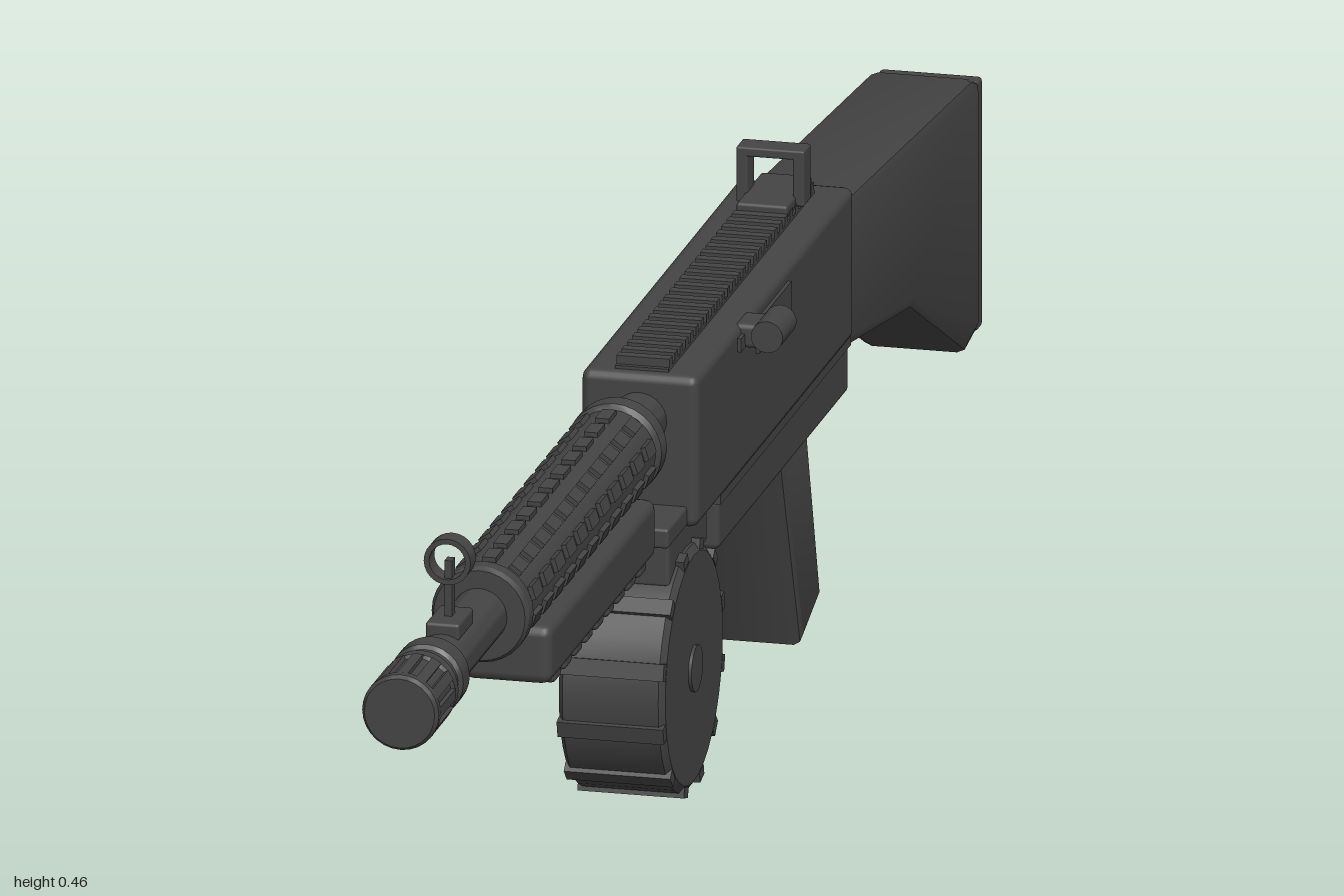
import * as THREE from 'three';
import { RoundedBoxGeometry } from 'three/addons/geometries/RoundedBoxGeometry.js';
import { toCreasedNormals } from 'three/addons/utils/BufferGeometryUtils.js';

export function createModel() {
  const model = new THREE.Group();
  model.name = 'drumFedGun';
  const steel = new THREE.MeshStandardMaterial({ color: 0x444444 });
  steel.name = 'dark steel';

  const CX = -0.02;      // body centre line
  const BARREL_Y = 0.356;

  const add = (name, geo, x = 0, y = 0, z = 0, parent = model) => {
    const mesh = new THREE.Mesh(geo, steel);
    mesh.name = name;
    mesh.position.set(x, y, z);
    parent.add(mesh);
    return mesh;
  };
  const group = (name) => {
    const g = new THREE.Group();
    g.name = name;
    model.add(g);
    return g;
  };
  // Box given by its y and z ranges, centred on the body unless x is given
  const block = (name, w, y0, y1, z0, z1, r = 0.004, x = CX, parent = model) => {
    const s = [w, y1 - y0, z1 - z0];
    const geo = r ? new RoundedBoxGeometry(...s, 2, r) : new THREE.BoxGeometry(...s);
    return add(name, geo, x, (y0 + y1) / 2, (z0 + z1) / 2, parent);
  };
  // Side outline of [z, y] points, extruded across x with a bevelled edge
  const profile = (name, pts, w, bevel) => {
    const shape = new THREE.Shape(pts.map(([z, y]) => new THREE.Vector2(z, y)));
    const geo = new THREE.ExtrudeGeometry(shape, {
      depth: w - 2 * bevel, bevelEnabled: true, bevelThickness: bevel,
      bevelSize: bevel, bevelOffset: -bevel, bevelSegments: 2,
    });
    geo.translate(0, 0, bevel - w / 2).rotateY(-Math.PI / 2);
    return add(name, toCreasedNormals(geo, 0.5), CX);
  };
  // Turned part along z from [radius, z] points
  const turned = (name, pts, y = BARREL_Y) => {
    const geo = new THREE.LatheGeometry(pts.map(([r, z]) => new THREE.Vector2(r, z)), 28);
    geo.rotateX(Math.PI / 2);
    return add(name, toCreasedNormals(geo, 0.5), CX, y);
  };

  // Receiver
  block('upperReceiver', 0.11, 0.255, 0.4, -0.49, 0.1, 0.009);
  block('lowerReceiver', 0.1, 0.203, 0.262, -0.49, 0.0, 0.006);
  block('receiverSeam', 0.106, 0.249, 0.258, -0.485, 0.005, 0);
  for (const side of [-1, 1]) {
    block('ejectionCover', 0.006, 0.355, 0.387, -0.24, -0.12, 0, CX + side * 0.0555);
  }
  block('handleTrack', 0.006, 0.378, 0.391, -0.12, -0.05, 0, CX + 0.0555);

  // Charging handle on the left side
  const handle = group('chargingHandle');
  block('handleArm', 0.035, 0.377, 0.4, -0.105, -0.065, 0.005, 0.045, handle);
  const knob = new THREE.CylinderGeometry(0.015, 0.015, 0.052, 18).rotateX(Math.PI / 2);
  add('handleKnob', knob, 0.06, 0.391, -0.086, handle);

  // Toothed top rail
  const rail = group('topRail');
  block('railBase', 0.05, 0.398, 0.403, -0.46, 0.09, 0, CX, rail);
  for (let i = 0; i < 28; i++) {
    const z = 0.085 - i * 0.0197;
    block('railTooth', 0.05, 0.402, 0.411, z - 0.011, z, 0, CX, rail);
  }

  // Rear sight
  const rear = group('rearSight');
  block('sightBase', 0.048, 0.405, 0.418, -0.455, -0.36, 0.003, CX, rear);
  for (const side of [-1, 1]) {
    block('sightPost', 0.011, 0.408, 0.46, -0.418, -0.392, 0.002, CX + side * 0.0265, rear);
  }
  block('sightBridge', 0.064, 0.452, 0.461, -0.418, -0.392, 0.002, CX, rear);
  block('sightSill', 0.064, 0.408, 0.418, -0.418, -0.392, 0.002, CX, rear);

  // Front sight
  const front = group('frontSight');
  block('sightFoot', 0.032, 0.376, 0.392, 0.785, 0.84, 0.003, CX, front);
  block('sightStem', 0.007, 0.385, 0.445, 0.805, 0.817, 0, CX, front);
  const ring = new THREE.LatheGeometry([
    [0.017, -0.01], [0.022, -0.01], [0.022, 0.01], [0.017, 0.01], [0.017, -0.01],
  ].map(([r, z]) => new THREE.Vector2(r, z)), 24).rotateX(Math.PI / 2);
  add('sightRing', toCreasedNormals(ring, 0.5), CX, 0.445, 0.811, front);

  // Barrel, muzzle and gas tube
  turned('barrel', [[0, 0.05], [0.026, 0.05], [0.026, 0.88], [0, 0.88]]);
  turned('muzzle', [[0, 0.868], [0.03, 0.868], [0.035, 0.876], [0.035, 0.9], [0.031, 0.903],
    [0.031, 0.915], [0.035, 0.918], [0.035, 0.93], [0.032, 0.933], [0.032, 0.985],
    [0.036, 0.988], [0.036, 0.996], [0.033, 1], [0, 1]]);
  turned('gasTube', [[0, 0.05], [0.016, 0.05], [0.016, 0.25], [0, 0.25]], 0.316);
  const flutes = group('muzzleFlutes');
  for (let i = 0; i < 12; i++) {
    const a = (i / 12) * Math.PI * 2;
    const rib = add('muzzleRib', new THREE.BoxGeometry(0.01, 0.006, 0.06),
      CX + Math.sin(a) * 0.0325, BARREL_Y + Math.cos(a) * 0.0325, 0.96, flutes);
    rib.rotation.z = -a;
  }

  // Heat shroud with raised pads in rows
  turned('barrelShroud', [[0.026, 0.17], [0.042, 0.17], [0.045, 0.175], [0.045, 0.195],
    [0.0405, 0.2], [0.0405, 0.675], [0.046, 0.68], [0.046, 0.695], [0.043, 0.7], [0.026, 0.7]]);
  const pads = group('shroudPads');
  for (let i = 0; i < 10; i++) {
    const a = (i / 10) * Math.PI * 2;
    for (let j = 0; j < 11; j++) {
      const pad = add('shroudPad', new THREE.BoxGeometry(0.013, 0.007, 0.028),
        CX + Math.sin(a) * 0.041, BARREL_Y + Math.cos(a) * 0.041, 0.225 + j * 0.0425, pads);
      pad.rotation.z = -a;
    }
  }

  // Fore grip with ribbed underside
  block('foreGrip', 0.084, 0.26, 0.316, 0.2, 0.6, 0.01);
  const ribs = group('foreGripRibs');
  for (let i = 0; i < 9; i++) {
    const z = 0.225 + i * 0.04;
    block('gripRib', 0.078, 0.253, 0.275, z, z + 0.026, 0.005, CX, ribs);
  }

  // Drum magazine
  block('magazineCatch', 0.09, 0.257, 0.276, 0.0, 0.17, 0.003);
  block('magazineNeck', 0.084, 0.215, 0.262, 0.01, 0.155, 0.004);
  const drum = group('drumMagazine');
  drum.position.set(CX, 0.12, 0.093);
  const drumShape = [[0, -0.05], [0.108, -0.05], [0.115, -0.045], [0.115, 0.045], [0.108, 0.05], [0, 0.05]];
  const drumGeo = new THREE.LatheGeometry(drumShape.map(([r, x]) => new THREE.Vector2(r, x)), 36);
  add('drumBody', toCreasedNormals(drumGeo.rotateZ(-Math.PI / 2), 0.4), 0, 0, 0, drum);
  for (const side of [-1, 1]) {
    const hub = new THREE.CylinderGeometry(0.022, 0.022, 0.004, 20).rotateZ(Math.PI / 2);
    add('drumHub', hub, side * 0.051, 0, 0, drum);
  }
  for (let i = 0; i < 12; i++) {
    const a = ((i + 0.5) / 12) * Math.PI * 2;
    const rib = add('drumRib', new THREE.BoxGeometry(0.1, 0.01, 0.016),
      0, Math.cos(a) * 0.114, Math.sin(a) * 0.114, drum);
    rib.rotation.x = a;
  }

  // Trigger guard and pistol grip
  block('triggerGuard', 0.046, 0.174, 0.21, -0.212, -0.072, 0.006);
  profile('pistolGrip', [[-0.265, 0.215], [-0.365, 0.215], [-0.42, 0.03], [-0.345, 0.004]], 0.084, 0.008);
  block('gripCollar', 0.07, 0.188, 0.21, -0.37, -0.265, 0.003);

  // Shoulder stock and butt plate
  profile('stock', [[-0.48, 0.388], [-0.48, 0.245], [-0.73, 0.205], [-0.935, 0.1],
    [-0.985, 0.108], [-0.985, 0.345], [-0.96, 0.354]], 0.1, 0.01);
  block('buttPlate', 0.096, 0.106, 0.345, -1, -0.98, 0.004);

  return model;
}
